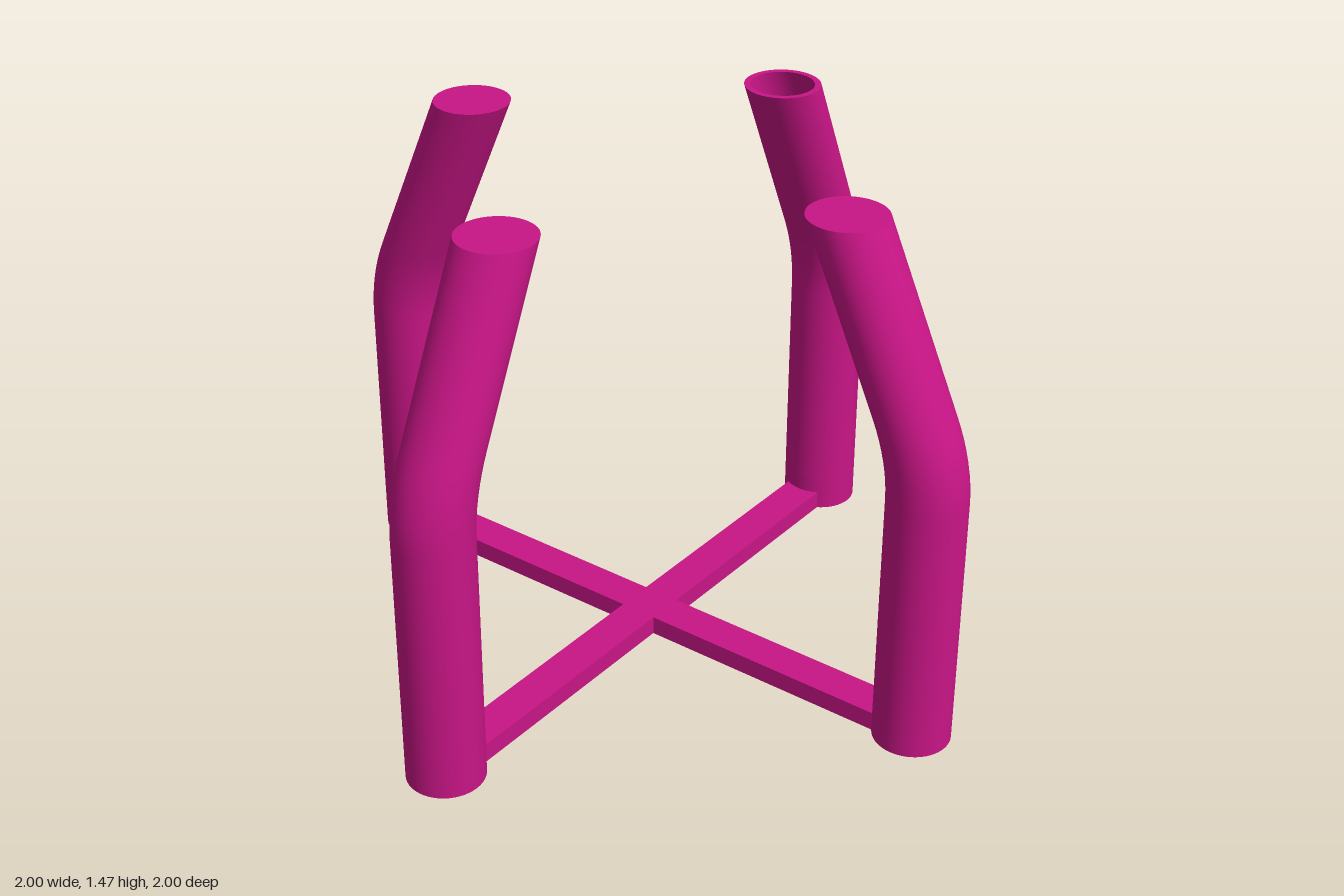
import * as THREE from 'three';
import { toCreasedNormals } from 'three/addons/utils/BufferGeometryUtils.js';

const RADIUS = 0.108, BORE = 0.09, HEIGHT = 1.47, SEGMENTS = 48;
const BEND_START = 0.74, BEND_END = 0.97, LEAN = 0.452;

// Distance of a post's centre from the middle: upright, a soft bend, then a straight inward lean
function axis(y) {
  const bend = BEND_END - BEND_START;
  if (y < BEND_START) return 0.892;
  if (y < BEND_END) return 0.892 - (LEAN * (y - BEND_START) ** 2) / (2 * bend);
  return 0.892 - LEAN * (bend / 2 + y - BEND_END);
}

// Skin over level rings; rowsAt(angle) lists [radius, y] along the wall's section
function loft(rowsAt) {
  const pos = [], index = [];
  let count = 0;
  for (let i = 0; i <= SEGMENTS; i++) {
    const a = ((i % SEGMENTS) / SEGMENTS) * Math.PI * 2;
    const rows = rowsAt(a);
    count = rows.length;
    for (const [r, y] of rows) pos.push(axis(y) + r * Math.cos(a), y, -r * Math.sin(a));
  }
  for (let i = 0; i < SEGMENTS; i++) {
    for (let j = 0; j < count - 1; j++) {
      const a = i * count + j, b = a + count;
      index.push(a, b, b + 1, a, b + 1, a + 1);
    }
  }
  const g = new THREE.BufferGeometry();
  g.setAttribute('position', new THREE.Float32BufferAttribute(pos, 3));
  g.setIndex(index);
  return toCreasedNormals(g, Math.PI / 6);
}

// Heights of the rings above the base
const levels = [0.3];
for (let i = 0; i <= 8; i++) levels.push(BEND_START + ((BEND_END - BEND_START) * i) / 8);
levels.push(HEIGHT);

// Lower and upper edge of the rounded opening in the hollow post's outer side
function notch(a) {
  const s = (RADIUS * Math.sin(a)) / 0.084;
  const k = Math.cos(a) > 0 && Math.abs(s) < 1 ? Math.sqrt(1 - s * s) : 0;
  return [Math.max(0, 0.1 - 0.148 * k), 0.1 + 0.09 * k];
}

export function createModel() {
  const model = new THREE.Group();
  const material = new THREE.MeshStandardMaterial({ color: 0xc71585, side: THREE.DoubleSide });
  const add = (parent, name, geometry) => {
    const mesh = new THREE.Mesh(geometry, material);
    mesh.name = name;
    parent.add(mesh);
    return mesh;
  };

  // Three solid posts: front, right and back
  const solid = loft(() => [
    [0, 0], [RADIUS, 0], ...levels.map((y) => [RADIUS, y]), [0, HEIGHT],
  ]);
  const turns = { backPost: 1, rightPost: 2, frontPost: 3 };
  for (const [name, turn] of Object.entries(turns)) {
    add(model, name, solid).rotation.y = (turn * Math.PI) / 2;
  }

  // Hollow left post, open at both ends, with the opening near its foot
  const hollow = new THREE.Group();
  hollow.name = 'hollowLeftPost';
  model.add(hollow);
  add(hollow, 'hollowPostWall', loft((a) => {
    const hi = notch(a)[1];
    return [
      [RADIUS, hi], ...levels.map((y) => [RADIUS, y]),
      ...[...levels].reverse().map((y) => [BORE, y]), [BORE, hi], [RADIUS, hi],
    ];
  }));
  add(hollow, 'hollowPostFoot', loft((a) => {
    const lo = notch(a)[0];
    return [[RADIUS, 0], [RADIUS, lo], [BORE, lo], [BORE, 0], [RADIUS, 0]];
  }));

  // Flat crossed beams joining the feet
  const w = 0.055, l = 0.805;
  const cross = new THREE.Shape();
  for (let i = 0; i < 4; i++) {
    const c = Math.round(Math.cos((i * Math.PI) / 2)), s = Math.round(Math.sin((i * Math.PI) / 2));
    for (const [x, y] of [[l, -w], [l, w], [w, w]]) {
      const px = x * c - y * s, py = x * s + y * c;
      if (i === 0 && x === l && y < 0) cross.moveTo(px, py);
      else cross.lineTo(px, py);
    }
  }
  const beams = new THREE.ExtrudeGeometry(cross, { depth: 0.055, bevelEnabled: false });
  beams.rotateX(-Math.PI / 2);
  add(model, 'crossBeams', beams);

  return model;
}
